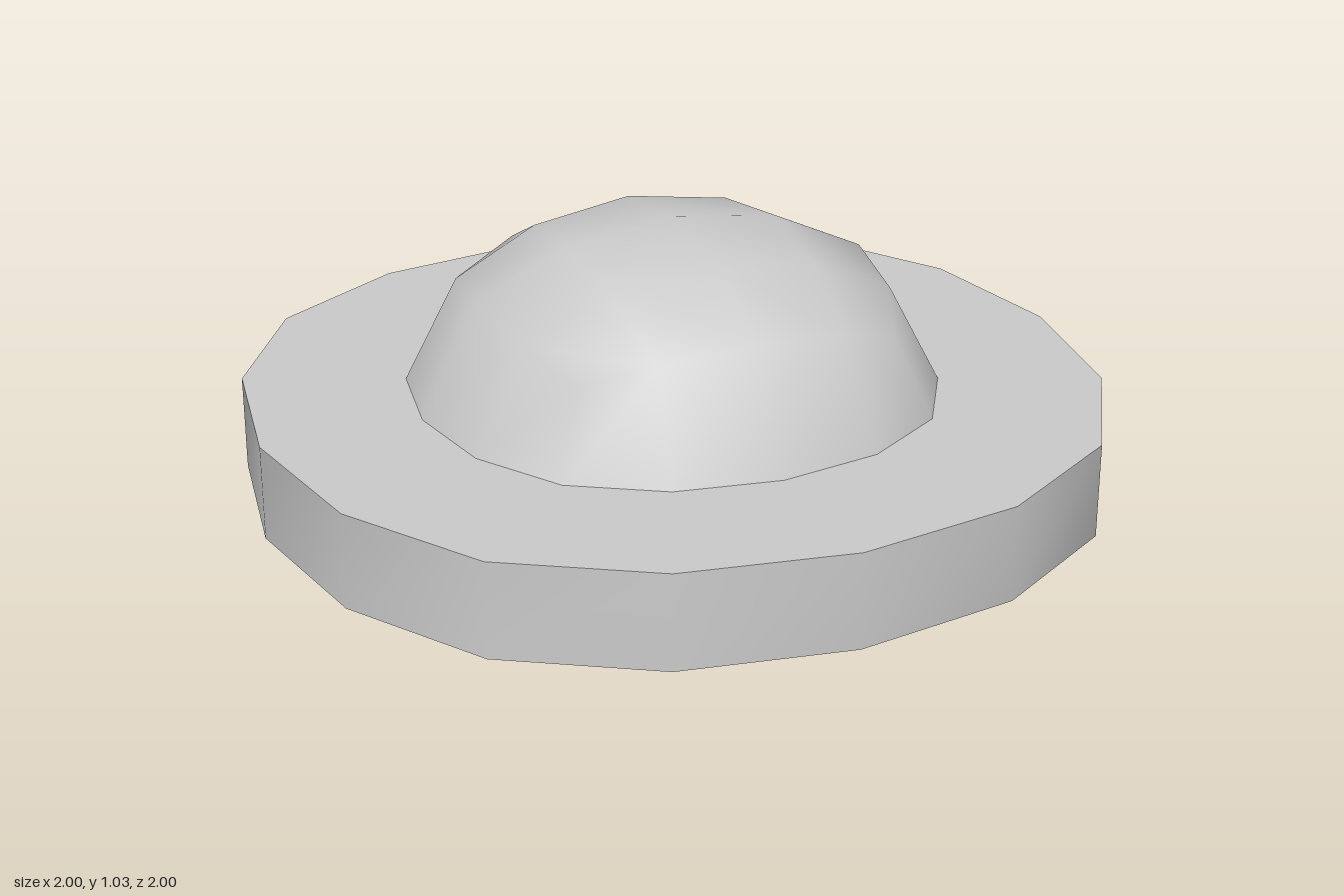
import * as THREE from 'three';

const CENTER = 0.5175;   // height of the mid plane, also the dome's half height
const DOME = 0.663;      // horizontal dome scale
const HALF = 0.113;      // half thickness of the disc
const INNER = 0.933 * DOME;

// Rounded-cube cap: [larger, smaller, height] by grid distance from the pole
const CAP = {
  '00': [0, 0, 1], '10': [0.399, 0, 0.933], '11': [0.372, 0.372, 0.870],
  '20': [0.732, 0, 0.732], '21': [0.682, 0.344, 0.682], '22': [0.580, 0.580, 0.580],
};

function capPoint(i, j) {
  const a = Math.abs(i), b = Math.abs(j);
  const [big, small, h] = CAP[`${Math.max(a, b)}${Math.min(a, b)}`];
  const x = Math.sign(i) * (a >= b ? big : small);
  const z = Math.sign(j) * (a >= b ? small : big);
  return [x * DOME, h * CENTER, z * DOME];
}

// The 16 grid cells around the cap's edge, from +x towards +z
const edgeCells = [];
for (let q = 0, c = [[2, 0], [2, 1], [2, 2], [1, 2]]; q < 4; q++) {
  edgeCells.push(...c);
  c = c.map(([i, j]) => [-j, i]);
}

// 16-sided outline shared by the disc and the dome's foot
function loop(radius, y) {
  return edgeCells.map((_, k) => {
    const q = Math.floor(k / 4);
    let [x, z] = [[1, 0], [0.933, 0.399], [0.731, 0.731], [0.399, 0.933]][k % 4];
    for (let t = 0; t < q; t++) [x, z] = [-z, x];
    return [x * radius, y, z * radius];
  });
}

function build(points, quads) {
  const geometry = new THREE.BufferGeometry();
  geometry.setAttribute('position', new THREE.Float32BufferAttribute(points.flat(), 3));
  geometry.setIndex(quads.flatMap(([a, b, c, d]) => [a, b, c, a, c, d]));
  geometry.computeVertexNormals();
  return geometry;
}

// Quads joining two 16-point loops
const bridge = (p, q) => p.map((_, k) => {
  const n = (k + 1) % p.length;
  return [p[k], p[n], q[n], q[k]];
});

function domeGeometry() {
  const points = [], quads = [];
  const id = (i, j) => (i + 2) * 5 + j + 2;
  for (let i = -2; i <= 2; i++) {
    for (let j = -2; j <= 2; j++) {
      points.push(capPoint(i, j));
      if (i < 2 && j < 2) quads.push([id(i, j), id(i, j + 1), id(i + 1, j + 1), id(i + 1, j)]);
    }
  }
  // Skirt from the cap's edge down to the disc
  const foot = loop(INNER, HALF).map((p) => points.push(p) - 1);
  quads.push(...bridge(edgeCells.map(([i, j]) => id(i, j)), foot));
  return build(points, quads);
}

// One band of the disc, with its own vertices so the rims stay sharp
function bandGeometry(from, to) {
  const a = from.map((_, k) => k);
  return build([...from, ...to], bridge(a, a.map((k) => k + 16)));
}

export function createModel() {
  const model = new THREE.Group();
  model.name = 'ringedGlobe';
  const material = new THREE.MeshStandardMaterial({ color: 0xcccccc });
  const add = (name, geometry) => {
    const mesh = new THREE.Mesh(geometry, material);
    mesh.name = name;
    mesh.position.y = CENTER;
    model.add(mesh);
    return mesh;
  };

  // Domes
  const dome = domeGeometry();
  add('upperDome', dome);
  add('lowerDome', dome).rotation.x = Math.PI;

  // Disc
  add('discTop', bandGeometry(loop(INNER, HALF), loop(1, HALF)));
  add('discRim', bandGeometry(loop(1, HALF), loop(1, -HALF)));
  add('discBottom', bandGeometry(loop(1, -HALF), loop(INNER, -HALF)));
  return model;
}
